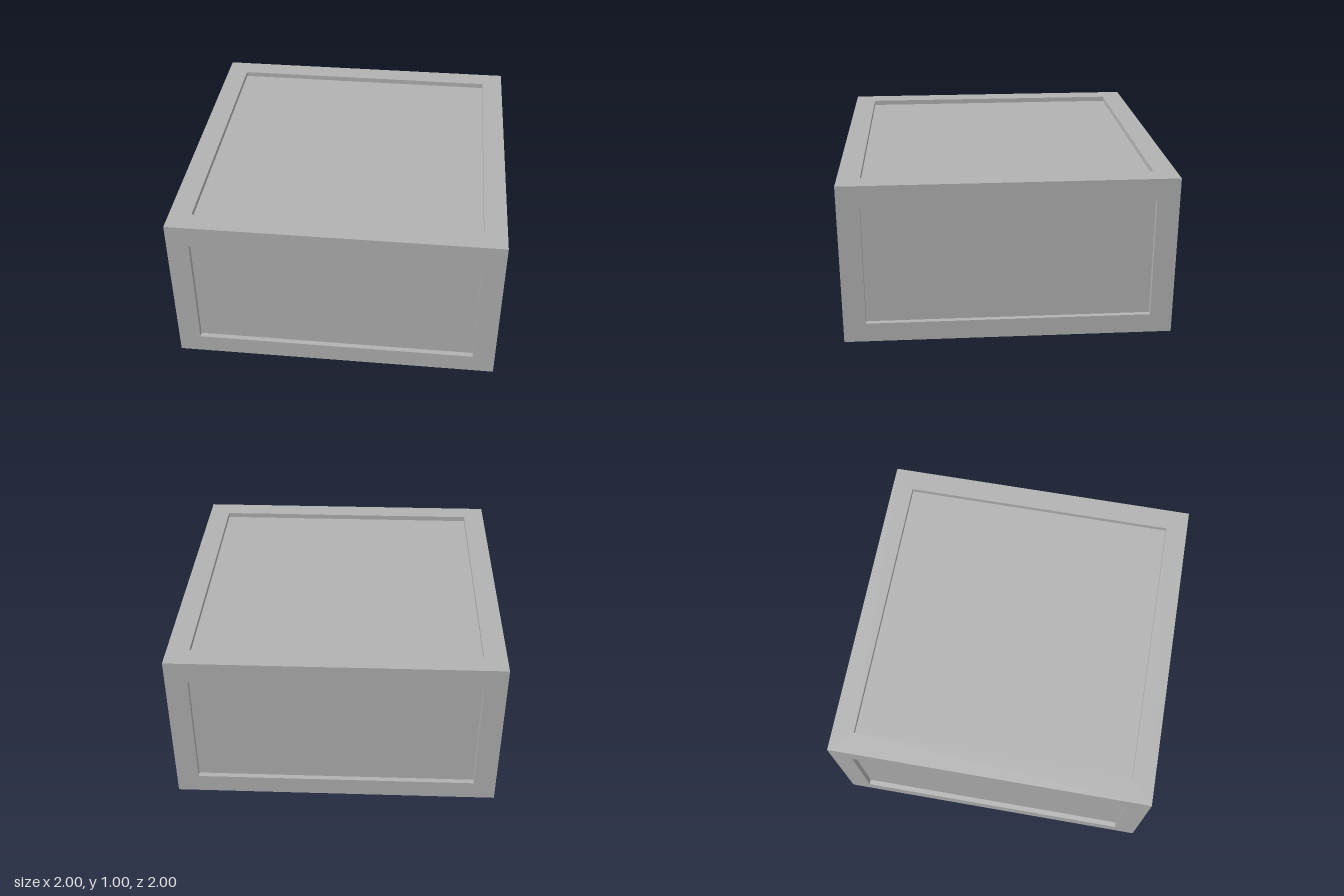
import * as THREE from 'three';

const HALF = 1;        // half the outer width and depth
const OPEN = 0.864;    // half the width of each framed opening
const LOW = 0.12;      // top of the lower rails
const HIGH = 0.865;    // underside of the upper rails
const TOP = 1;
const INSET = 0.032;   // how far the panels sit behind the frame

export function createModel() {
  const model = new THREE.Group();
  model.name = 'panelledBox';
  const grey = new THREE.MeshStandardMaterial({ color: 0xb2b2b2 });
  grey.name = 'grey';

  const add = (name, geometry, x, y, z) => {
    const mesh = new THREE.Mesh(geometry, grey);
    mesh.name = name;
    mesh.position.set(x, y, z);
    model.add(mesh);
    return mesh;
  };

  const square = (Type, r) => new Type([
    new THREE.Vector2(-r, -r), new THREE.Vector2(r, -r),
    new THREE.Vector2(r, r), new THREE.Vector2(-r, r),
  ]);

  // Square rings of rails at the bottom and top, both open in the middle
  const addRails = (name, y0, y1) => {
    const ring = square(THREE.Shape, HALF);
    ring.holes.push(square(THREE.Path, OPEN));
    const geometry = new THREE.ExtrudeGeometry(ring, { depth: y1 - y0, bevelEnabled: false });
    geometry.rotateX(-Math.PI / 2);
    add(name, geometry, 0, y0, 0);
  };
  addRails('lowerRails', 0, LOW);
  addRails('upperRails', HIGH, TOP);

  // Corner posts between the rails
  const postWidth = HALF - OPEN;
  const postHeight = HIGH - LOW;
  const midY = (LOW + HIGH) / 2;
  const postAt = (HALF + OPEN) / 2;
  for (const sx of [-1, 1]) {
    for (const sz of [-1, 1]) {
      add('cornerPost', new THREE.BoxGeometry(postWidth, postHeight, postWidth), sx * postAt, midY, sz * postAt);
    }
  }

  // Thin recessed panels on the four sides and the top; the bottom stays open
  const thick = 0.004;
  const panelAt = HALF - INSET - thick / 2;
  ['frontPanel', 'leftPanel', 'backPanel', 'rightPanel'].forEach((name, i) => {
    const angle = i * Math.PI / 2;
    const panel = add(name, new THREE.BoxGeometry(2 * OPEN, postHeight, thick),
      Math.sin(angle) * panelAt, midY, Math.cos(angle) * panelAt);
    panel.rotation.y = angle;
  });
  add('topPanel', new THREE.BoxGeometry(2 * OPEN, thick, 2 * OPEN), 0, TOP - INSET - thick / 2, 0);

  return model;
}
